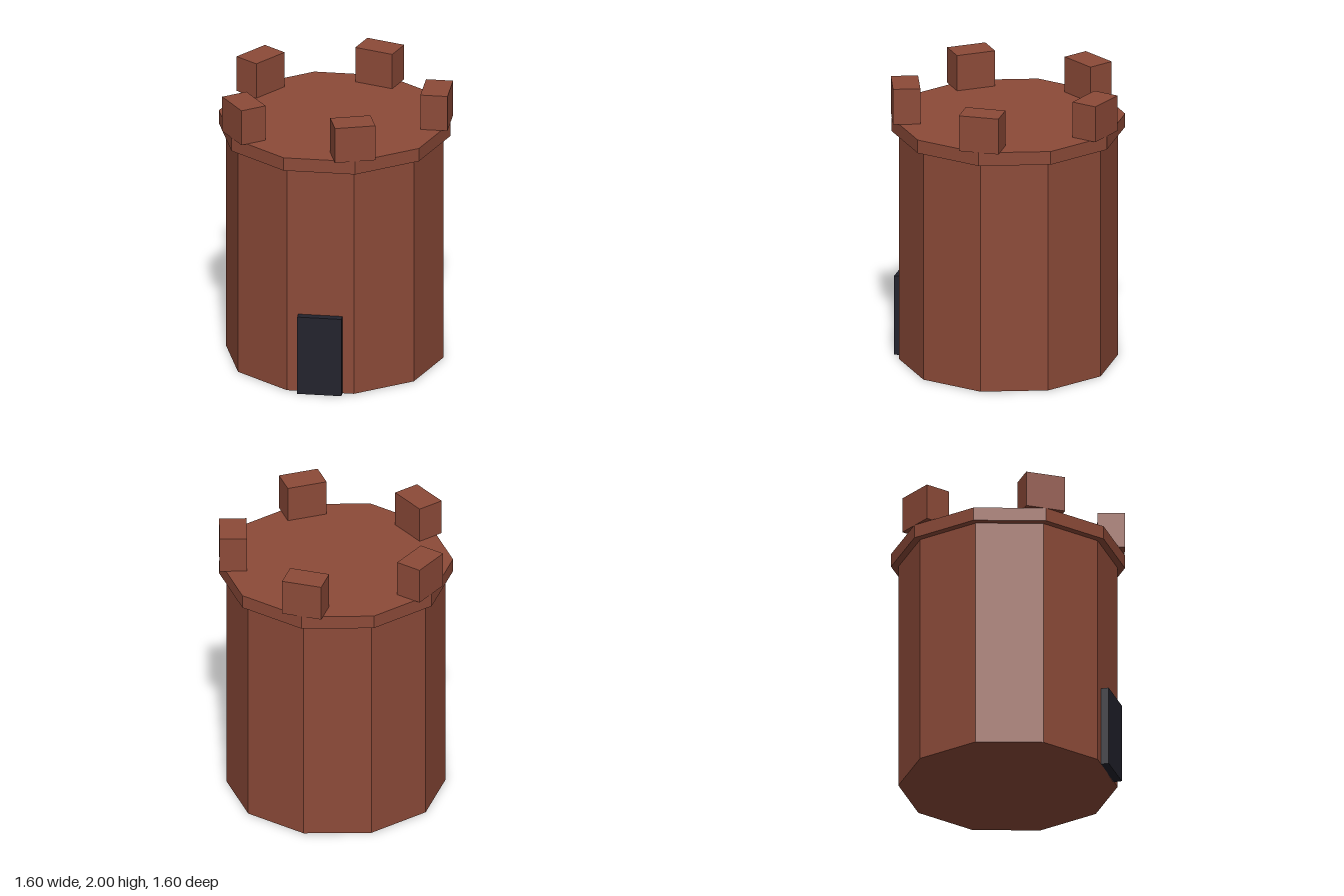
import * as THREE from 'three';

export function createModel() {
  const brick = new THREE.MeshStandardMaterial({ color: 0x8c4a38, flatShading: true });
  brick.name = 'brick';
  const darkDoor = new THREE.MeshStandardMaterial({ color: 0x22222c, flatShading: true });
  darkDoor.name = 'dark door';

  const tower = new THREE.Group();
  tower.name = 'tower';

  function add(name, geometry, material, x, y, z) {
    const mesh = new THREE.Mesh(geometry, material);
    mesh.name = name;
    mesh.position.set(x, y, z);
    tower.add(mesh);
    return mesh;
  }

  // Ten-sided drum with corners on the x axis
  const drum = (radius, height) =>
    new THREE.CylinderGeometry(radius, radius, height, 10, 1, false, Math.PI / 2);

  // Tower wall and the wider slab on top
  add('wall', drum(0.75, 1.65), brick, 0, 0.825, 0);
  add('parapetSlab', drum(0.8, 0.095), brick, 0, 1.6975, 0);

  // Ring of five battlements, the first on +x
  const block = new THREE.BoxGeometry(0.187, 0.255, 0.28);
  for (let i = 0; i < 5; i++) {
    const a = (i / 5) * Math.PI * 2;
    const battlement = add('battlement' + (i + 1), block, brick,
      Math.cos(a) * 0.704, 1.8725, Math.sin(a) * 0.704);
    battlement.rotation.y = -a;
  }

  // Door slab standing proud of the front wall
  add('door', new THREE.BoxGeometry(0.305, 0.57, 0.09), darkDoor, 0, 0.285, 0.722);

  return tower;
}
